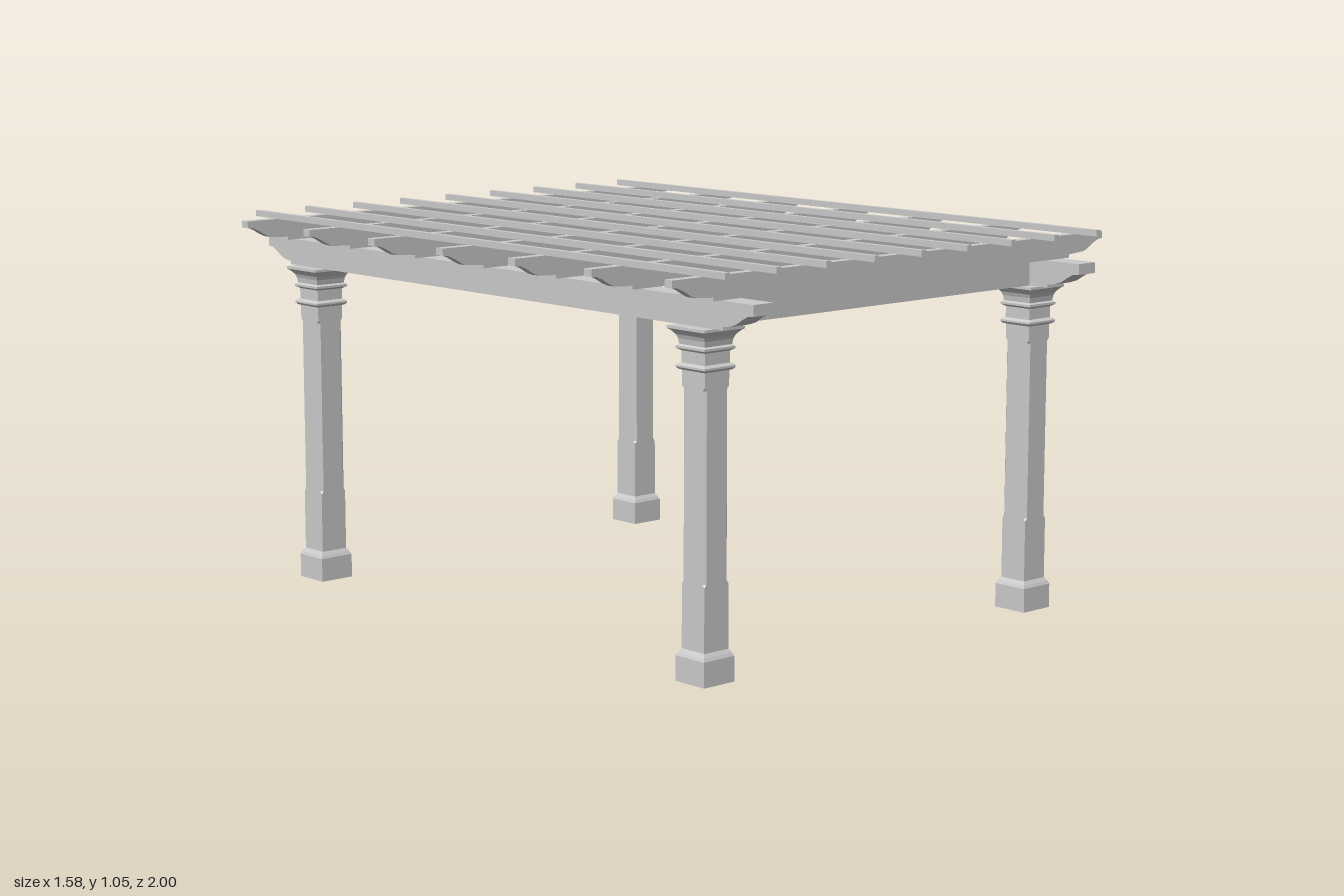
import * as THREE from 'three';

const material = new THREE.MeshStandardMaterial({ color: 0xcccccc, flatShading: true });

function addMesh(parent, geometry, name, x, y, z) {
  const mesh = new THREE.Mesh(geometry, material);
  mesh.name = name;
  mesh.position.set(x, y, z);
  parent.add(mesh);
  return mesh;
}

// Square cross-section with corners cut by c, counter-clockwise from above
function squareRing([y, h, c = 0]) {
  const k = h - c;
  return [[-k, h], [k, h], [h, k], [h, -k], [k, -h], [-k, -h], [-h, -k], [-h, k]]
    .map(([x, z]) => new THREE.Vector3(x, y, z));
}

// Joins square cross-sections [y, half width, corner cut] into one surface
function squareLoft(profile) {
  const rings = profile.map(squareRing);
  const points = [];
  const triangle = new THREE.Triangle();
  const add = (a, b, c) => {
    if (triangle.set(a, b, c).getArea() > 1e-9) points.push(a, b, c);
  };
  for (let i = 0; i < rings.length - 1; i++) {
    const lower = rings[i], upper = rings[i + 1];
    for (let j = 0; j < 8; j++) {
      const n = (j + 1) % 8;
      add(lower[j], lower[n], upper[n]);
      add(lower[j], upper[n], upper[j]);
    }
  }
  const geometry = new THREE.BufferGeometry().setFromPoints(points);
  geometry.computeVertexNormals();
  return geometry;
}

// Timber along x with shaped ends; the end outline runs from top to underside
function shapedTimber(end, width) {
  const outline = [
    ...end.map(([x, y]) => new THREE.Vector2(-x, y)),
    ...end.slice().reverse().map(([x, y]) => new THREE.Vector2(x, y)),
  ];
  const geometry = new THREE.ExtrudeGeometry(new THREE.Shape(outline), { depth: width, bevelEnabled: false });
  return geometry.translate(0, 0, -width / 2);
}

export function createModel() {
  const group = new THREE.Group();
  const postX = 0.596, postZ = 0.797;

  // Hollow post: cavity, plinth, shaft with stopped chamfers
  const post = squareLoft([
    [0.78, 0], [0.78, 0.036], [0, 0.036], [0, 0.052], [0.066, 0.052],
    [0.074, 0.048], [0.084, 0.041], [0.25, 0.041], [0.258, 0.041, 0.007],
    [0.74, 0.041, 0.007], [0.748, 0.041], [0.8, 0.041],
  ]);
  // Moulded capital with collar, neck and flared top
  const capital = squareLoft([
    [0.786, 0.041], [0.788, 0.047], [0.793, 0.052], [0.798, 0.052], [0.803, 0.047],
    [0.804, 0.042], [0.834, 0.042], [0.837, 0.047], [0.84, 0.052], [0.846, 0.052],
    [0.85, 0.046], [0.864, 0.048], [0.874, 0.052], [0.882, 0.059],
    [0.886, 0.063], [0.889, 0.068], [0.896, 0.068], [0.896, 0],
  ]);
  for (const x of [-postX, postX]) {
    for (const z of [-postZ, postZ]) {
      const column = new THREE.Group();
      column.name = 'column';
      column.position.set(x, 0, z);
      addMesh(column, post, 'post', 0, 0, 0);
      addMesh(column, capital, 'capital', 0, 0, 0);
      group.add(column);
    }
  }

  // Side beams along z
  const beam = shapedTimber([
    [1, 0.969], [1, 0.94], [0.98, 0.938], [0.96, 0.928], [0.94, 0.915],
    [0.915, 0.907], [0.893, 0.905], [0.893, 0.896],
  ], 0.066);
  for (const x of [-postX, postX]) {
    addMesh(group, beam, 'sideBeam', x, 0, 0).rotation.y = Math.PI / 2;
  }

  // Cross beams between the side beams
  const crossBeam = new THREE.BoxGeometry(1.126, 0.073, 0.064);
  for (const z of [-postZ, postZ]) addMesh(group, crossBeam, 'crossBeam', 0, 0.9325, z);

  // Rafters along x
  const rafter = shapedTimber([
    [0.79, 1.031], [0.79, 1.012], [0.772, 1.01], [0.753, 1.002], [0.733, 0.99],
    [0.715, 0.982], [0.655, 0.978], [0.655, 0.969],
  ], 0.028);
  for (let i = -3; i <= 3; i++) addMesh(group, rafter, 'rafter', 0, 0, i * 0.293 - 0.005);

  // Slats along z on top
  const slat = new THREE.BoxGeometry(0.016, 0.017, 1.938);
  for (let i = -4; i <= 4; i++) addMesh(group, slat, 'slat', i * 0.1705, 1.0395, -0.004);

  return group;
}
